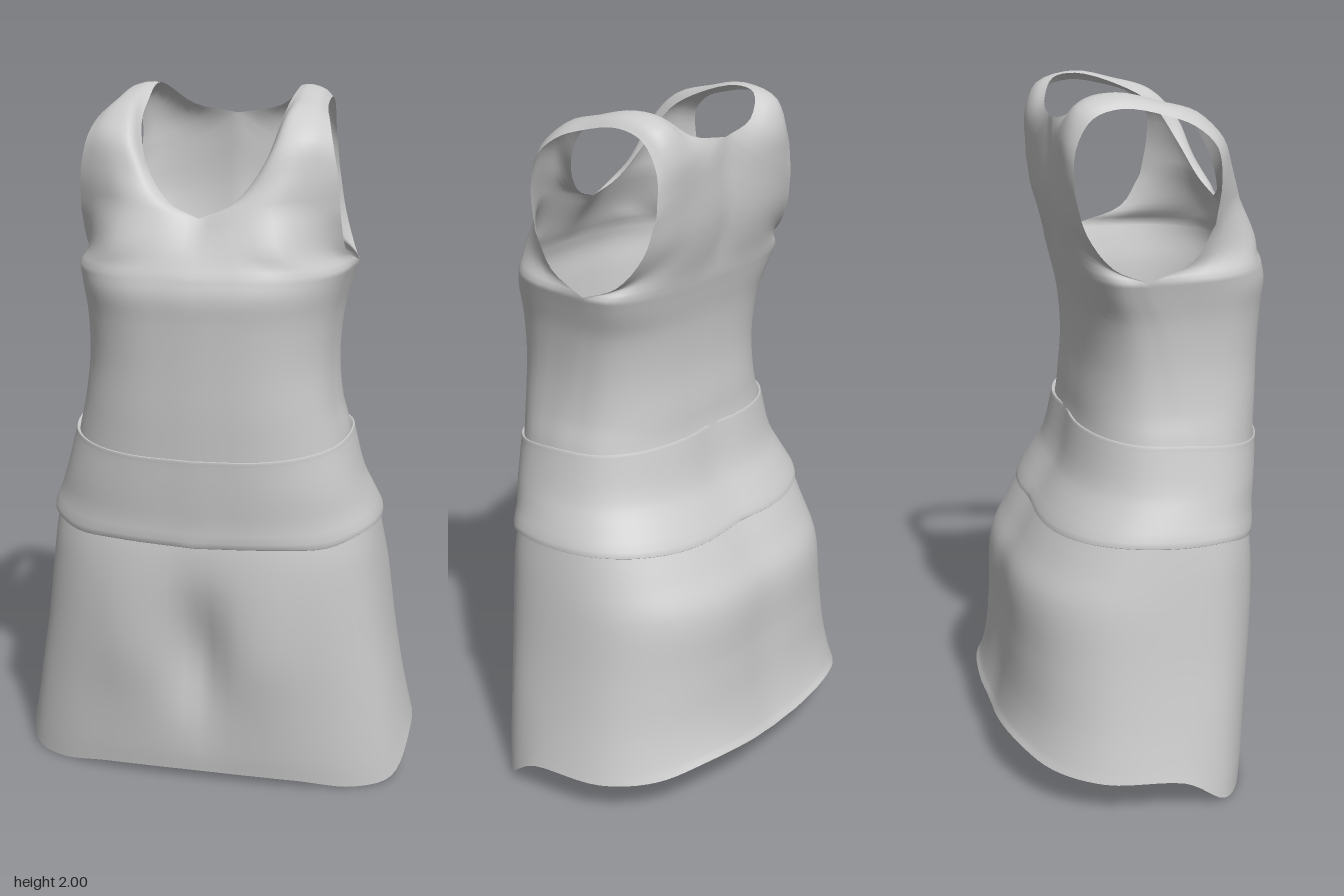
import * as THREE from 'three';
import { mergeGeometries, mergeVertices } from 'three/addons/utils/BufferGeometryUtils.js';

const fabric = new THREE.MeshStandardMaterial({ color: 0xcccccc, side: THREE.DoubleSide });
const curve = (pts) => new THREE.CatmullRomCurve3(pts, false, 'centripetal');

// Half ring of nine points, front centre -> left side -> back centre.
// y is a number or a function of the step 0..8; e rounds the corners (1 = ellipse).
function ring(y, halfWidth, front, back, side, e) {
  return Array.from({ length: 9 }, (_, k) => {
    const a = (k * Math.PI) / 8;
    const c = Math.cos(a);
    const x = k % 8 === 0 ? 0 : halfWidth * Math.sin(a) ** e;
    const depth = k === 4 ? 0 : Math.abs(c) ** e;
    const z = side + ((c > 0 ? front : back) - side) * depth;
    return new THREE.Vector3(x, typeof y === 'number' ? y : y(k), z);
  });
}

// Smooth sheet through rows of points
function loft(rows, across, perRow, shape) {
  const fine = rows.map((r) => curve(r).getPoints(across));
  const along = (rows.length - 1) * perRow;
  const columns = [];
  for (let i = 0; i <= across; i++) columns.push(curve(fine.map((r) => r[i])).getPoints(along));
  const pos = [], idx = [];
  for (let j = 0; j <= along; j++) {
    for (let i = 0; i <= across; i++) {
      const p = columns[i][j];
      if (shape) shape(p);
      pos.push(p.x < 1e-4 ? 0 : p.x, p.y, p.z);
      if (i < across && j < along) {
        const a = j * (across + 1) + i, b = a + across + 1;
        idx.push(a, a + 1, b + 1, a, b + 1, b);
      }
    }
  }
  const g = new THREE.BufferGeometry();
  g.setAttribute('position', new THREE.Float32BufferAttribute(pos, 3));
  g.setIndex(idx);
  return g;
}

// Adds the mirrored half, welds the seams and smooths
function garment(name, halves) {
  const all = halves.flatMap((g) => {
    const m = g.clone().scale(-1, 1, 1);
    const ix = m.index.array;
    for (let i = 0; i < ix.length; i += 3) [ix[i], ix[i + 1]] = [ix[i + 1], ix[i]];
    return [g, m];
  });
  const geo = mergeVertices(mergeGeometries(all), 1e-4);
  geo.computeVertexNormals();
  const mesh = new THREE.Mesh(geo, fabric);
  mesh.name = name;
  return mesh;
}

const toRow = (n) => Array.from({ length: n.length / 3 }, (_, i) => new THREE.Vector3(...n.slice(i * 3, i * 3 + 3)));

// Rows from centre or neckline out to the armhole: chest, strap, upper back
const chestRows = [
  [0, 1.58, .355, .12, 1.58, .36, .235, 1.58, .34, .31, 1.58, .255, .375, 1.565, .12],
  [0, 1.66, .295, .1, 1.68, .315, .2, 1.69, .305, .29, 1.685, .25, .37, 1.66, .18],
].map(toRow);
const strapRows = [
  [.09, 1.7, .275, .165, 1.75, .285, .235, 1.775, .272, .3, 1.775, .24, .364, 1.77, .198],
  [.165, 1.8, .23, .2, 1.85, .247, .25, 1.87, .237, .3, 1.87, .22, .347, 1.86, .19],
  [.195, 1.9, .165, .22, 1.935, .17, .26, 1.94, .16, .3, 1.93, .15, .328, 1.915, .135],
  [.203, 1.96, .06, .23, 1.972, .06, .26, 1.972, .06, .285, 1.965, .06, .308, 1.945, .055],
  [.21, 1.995, -.06, .23, 1.999, -.06, .255, 1.995, -.06, .28, 1.985, -.06, .3, 1.965, -.06],
  [.2, 1.985, -.13, .22, 1.975, -.16, .25, 1.965, -.17, .275, 1.955, -.16, .295, 1.94, -.14],
  [.13, 1.93, -.172, .165, 1.91, -.195, .21, 1.89, -.207, .255, 1.88, -.203, .292, 1.86, -.185],
].map(toRow);
const backRows = [
  [0, 1.905, -.185, .08, 1.85, -.2, .155, 1.81, -.206, .23, 1.78, -.205, .302, 1.75, -.192],
  [0, 1.72, -.192, .09, 1.7, -.2, .17, 1.68, -.198, .25, 1.66, -.187, .325, 1.64, -.165],
  [0, 1.6, -.176, .1, 1.6, -.184, .2, 1.59, -.175, .29, 1.575, -.145, .362, 1.55, -.1],
].map(toRow);

// Height that dips at the front centre and rises to the back
const dip = (front, side, back) => (k) =>
  k < 4 ? side + (front - side) * Math.cos((k * Math.PI) / 8) : side + ((back - side) * (k - 4)) / 4;

// Shallow hollow along the middle of the back
const hollow = (p) => {
  if (p.z < -.1) p.z += .012 * Math.exp(-((p.x / .07) ** 2));
};

// Deep fold between the thighs, with a slight bulge beside it
const fold = (p) => {
  hollow(p);
  if (p.z < .15) return;
  const h = Math.exp(-(((p.y - .4) / .19) ** 2));
  p.z -= h * (.06 * Math.exp(-((p.x / .07) ** 2)) - .012 * Math.exp(-(((p.x - .2) / .1) ** 2)));
};

export function createModel() {
  const model = new THREE.Group();
  model.name = 'sleevelessDress';

  // Bodice: lower tube, then chest, straps and upper back
  const body = [
    ring(dip(.95, .99, 1), .405, .379, -.165, .1, .8),
    ring(dip(1.03, 1.06, 1.07), .39, .384, -.152, .1, .8),
    ring(1.13, .371, .39, -.147, .1, .79),
    ring(1.25, .358, .395, -.137, .08, .78),
    ring(1.38, .364, .402, -.143, .05, .75),
    ring(1.46, .38, .407, -.156, .01, .71),
    ring(1.515, .394, .394, -.167, -.01, .7),
  ];
  const top = body[body.length - 1];
  const chest = [top.slice(0, 5), ...chestRows];
  const back = [...backRows, top.slice(4).reverse()];
  model.add(garment('bodice', [
    loft(body.map((r) => r.slice(0, 5)), 14, 4),
    loft(body.map((r) => r.slice(4)), 14, 4),
    loft(chest, 14, 4),
    loft([chest[2], ...strapRows, back[0]], 14, 4),
    loft(back, 14, 4),
  ]));

  // Waistband: rolled top edge and a slightly wavy lower edge
  const wave = (k) => dip(.742, .785, .775)(k) + .006 * Math.sin(k * 2.6);
  model.add(garment('waistband', [loft([
    ring((k) => wave(k) - .004, .474, .352, -.268, .07, .78),
    ring(wave, .486, .367, -.276, .07, .79),
    ring(dip(.81, .85, .84), .462, .372, -.24, .08, .8),
    ring(dip(.9, .92, .92), .434, .381, -.195, .1, .8),
    ring(dip(.985, .03 + 1, 1.042), .406, .388, -.168, .1, .8),
    ring(dip(1.003, 1.048, 1.06), .401, .389, -.163, .1, .8),
    ring(dip(.99, 1.035, 1.045), .388, .374, -.148, .1, .8),
  ], 36, 3, hollow)]));

  // Skirt: flared tube with a fold down the front and an uneven hem
  const hem = [.03, .024, .004, .015, .1, .112, .125, .15, .13];
  model.add(garment('skirt', [loft([
    ring((k) => hem[k], .583, .31, -.41, .05, .74),
    ring((k) => hem[k] * .65 + .075, .574, .32, -.398, .045, .74),
    ring(.26, .55, .338, -.378, .04, .75),
    ring(.42, .523, .354, -.366, .04, .75),
    ring(.6, .5, .364, -.358, .045, .76),
    ring(.7, .486, .361, -.31, .06, .77),
    ring(dip(.77, .81, .8), .468, .353, -.255, .07, .78),
  ], 48, 5, fold)]));

  return model;
}
